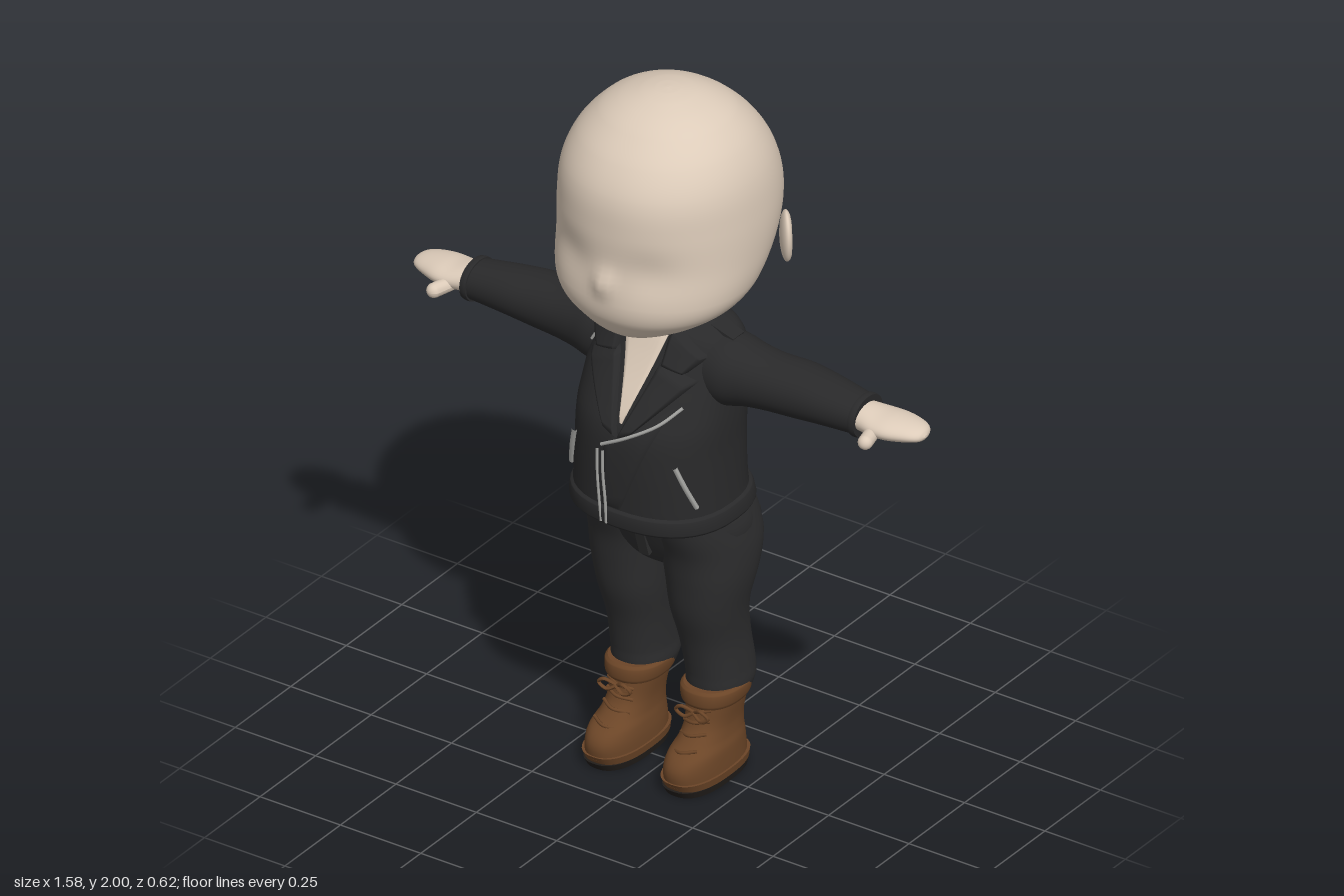
import * as THREE from 'three';

const mat = (name, color, side = THREE.FrontSide) =>
  Object.assign(new THREE.MeshStandardMaterial({ color, side }), { name });

// Cross-section at height t, eased between rows [t, u0, u1, v0, v1]
function section(rows, t) {
  const n = rows.length - 1;
  let i = 0;
  while (i < n - 1 && t > rows[i + 1][0]) i++;
  const a = rows[i], b = rows[i + 1], p = rows[Math.max(i - 1, 0)], q = rows[Math.min(i + 2, n)];
  const h = b[0] - a[0], s = THREE.MathUtils.clamp((t - a[0]) / h, 0, 1);
  return [1, 2, 3, 4].map(k => {
    const ma = (b[k] - p[k]) / (b[0] - p[0]) * h, mb = (q[k] - a[k]) / (q[0] - a[0]) * h;
    return a[k] * (1 + 2 * s) * (1 - s) ** 2 + ma * s * (1 - s) ** 2
      + b[k] * s * s * (3 - 2 * s) + mb * s * s * (s - 1);
  });
}

// Closed body through superellipse sections stacked along y (or along x)
function loft(rows, exp = 2, alongX = false, n = 40, steps = 5) {
  const ts = [rows[0][0]], pos = [], idx = [];
  for (let i = 1; i < rows.length; i++)
    for (let k = 1; k <= steps; k++) ts.push(rows[i - 1][0] + (rows[i][0] - rows[i - 1][0]) * k / steps);
  const put = (u, t, v) => pos.push(...(alongX ? [t, v, u] : [u, t, v]));
  const pw = c => Math.sign(c) * Math.abs(c) ** (2 / exp);
  for (const t of ts) {
    const [u0, u1, v0, v1] = section(rows, t);
    for (let i = 0; i < n; i++) {
      const a = i / n * Math.PI * 2;
      put((u0 + u1) / 2 + (u1 - u0) / 2 * pw(Math.cos(a)), t, (v0 + v1) / 2 + (v1 - v0) / 2 * pw(Math.sin(a)));
    }
  }
  for (let j = 0; j < ts.length - 1; j++) for (let i = 0; i < n; i++) {
    const a = j * n + i, b = j * n + (i + 1) % n;
    idx.push(a, a + n, b, b, a + n, b + n);
  }
  for (const end of [0, ts.length - 1]) { // end caps, with their own vertices
    const [u0, u1, v0, v1] = section(rows, ts[end]), base = pos.length / 3;
    pos.push(...pos.slice(end * n * 3, (end + 1) * n * 3));
    put((u0 + u1) / 2, ts[end], (v0 + v1) / 2);
    for (let i = 0; i < n; i++) {
      const a = base + i, b = base + (i + 1) % n;
      idx.push(base + n, ...(end ? [b, a] : [a, b]));
    }
  }
  return build(pos, idx);
}

function build(pos, idx) {
  const g = new THREE.BufferGeometry();
  g.setAttribute('position', new THREE.Float32BufferAttribute(pos, 3));
  g.setIndex(idx);
  g.computeVertexNormals();
  return g;
}

// Depth of a lofted body's front (dir 1) or back (dir -1) at x, y
function depth(rows, x, y, exp, dir = 1) {
  const [u0, u1, v0, v1] = section(rows, y);
  const r = Math.min(Math.abs((x - (u0 + u1) / 2) / ((u1 - u0) / 2)), 0.995);
  return (v0 + v1) / 2 + dir * (v1 - v0) / 2 * (1 - r ** exp) ** (1 / exp);
}

// Raised panel draped over a body; corners run bottom-left, bottom-right, top-right, top-left
function drape(rows, exp, [a, b, c, d], lift, dir = 1, n = 14) {
  const pos = [], idx = [], mix = THREE.MathUtils.lerp;
  for (let j = 0; j <= n; j++) for (let i = 0; i <= n; i++) {
    const s = i / n, t = j / n, edge = i % n === 0 || j % n === 0;
    const x = mix(mix(a[0], b[0], s), mix(d[0], c[0], s), t), y = mix(mix(a[1], b[1], s), mix(d[1], c[1], s), t);
    pos.push(x, y, depth(rows, x, y, exp, dir) + dir * (edge ? 0 : lift));
    if (i < n && j < n) {
      const k = j * (n + 1) + i, m = k + n + 1;
      idx.push(...(dir > 0 ? [k, k + 1, m + 1, k, m + 1, m] : [k, m + 1, k + 1, k, m, m + 1]));
    }
  }
  return build(pos, idx);
}

function mirror(geo) {
  const g = geo.clone().scale(-1, 1, 1), ix = g.index.array;
  for (let i = 0; i < ix.length; i += 3) [ix[i], ix[i + 1]] = [ix[i + 1], ix[i]];
  g.computeVertexNormals();
  return g;
}

const tube = (pts, r) => new THREE.TubeGeometry(
  new THREE.CatmullRomCurve3(pts.map(p => new THREE.Vector3(...p)), false, 'centripetal'), 24, r, 6);

export function createModel() {
  const root = new THREE.Group();
  root.name = 'figure';
  const skin = mat('skin', 0xdccbb9), leather = mat('blackLeather', 0x29292a, THREE.DoubleSide);
  const denim = mat('darkDenim', 0x2d2d2e), brown = mat('brownLeather', 0x6b4527);
  const rubber = mat('soleRubber', 0x211d1a), silver = mat('zipMetal', 0xa5a5a2);
  const add = (name, geo, m) => {
    const mesh = new THREE.Mesh(geo, m);
    mesh.name = name;
    root.add(mesh);
  };
  const pair = (name, geo, m) => { add(name + 'Left', geo, m); add(name + 'Right', mirror(geo), m); };
  // Symmetric rows: [y, half width, back z, front z]
  const sym = rows => rows.map(([y, w, b, f]) => [y, -w, w, b, f]);

  // Head with a small nose
  const head = loft(sym([
    [1.352, 0.03, 0.08, 0.16], [1.36, 0.075, 0.02, 0.2], [1.38, 0.13, -0.06, 0.235], [1.41, 0.187, -0.11, 0.262],
    [1.45, 0.238, -0.16, 0.286], [1.5, 0.265, -0.215, 0.294], [1.6, 0.277, -0.287, 0.288], [1.7, 0.277, -0.313, 0.291],
    [1.8, 0.264, -0.288, 0.282], [1.88, 0.23, -0.238, 0.24], [1.94, 0.178, -0.178, 0.178], [1.97, 0.13, -0.13, 0.13],
    [1.99, 0.075, -0.08, 0.075], [1.998, 0.034, -0.036, 0.034], [2, 0.004, -0.005, 0.005]]), 2.12, false, 96, 6);
  const hp = head.attributes.position;
  for (let i = 0; i < hp.count; i++) {
    const x = hp.getX(i), y = hp.getY(i), z = hp.getZ(i);
    if (z > 0.1) hp.setZ(i, z + 0.02 * Math.exp(-((x / 0.028) ** 2) - ((y - 1.555) / 0.035) ** 2)
      - 0.01 * Math.exp(-(((Math.abs(x) - 0.12) / 0.07) ** 2) - ((y - 1.6) / 0.06) ** 2));
  }
  head.computeVertexNormals();
  add('head', head, skin);
  add('neck', new THREE.CylinderGeometry(0.075, 0.085, 0.2, 32).translate(0, 1.34, -0.01), skin);

  // Ears: flattened discs with a hollow on the outer side
  const ear = new THREE.SphereGeometry(1, 28, 20), ep = ear.attributes.position;
  for (let i = 0; i < ep.count; i++) {
    const y = ep.getY(i), z = ep.getZ(i), r = Math.hypot(y, z);
    if (ep.getX(i) > 0) ep.setX(i, ep.getX(i) - 0.9 * Math.max(0, 1 - (r / 0.75) ** 2));
    ep.setZ(i, z * (1 + 0.2 * y));
  }
  ear.scale(0.018, 0.07, 0.05).rotateX(-0.15).rotateY(0.72).translate(0.293, 1.6, -0.11);
  ear.computeVertexNormals();
  pair('ear', ear, skin);

  // Jacket body, waistband and collar
  const torso = sym([[0.805, 0.225, -0.185, 0.228], [0.87, 0.22, -0.166, 0.23], [1, 0.214, -0.168, 0.23],
    [1.08, 0.214, -0.17, 0.22], [1.15, 0.212, -0.168, 0.185], [1.22, 0.21, -0.162, 0.145], [1.28, 0.206, -0.15, 0.115],
    [1.32, 0.185, -0.135, 0.098], [1.345, 0.14, -0.118, 0.086], [1.365, 0.09, -0.1, 0.075]]);
  add('jacketBody', loft(torso, 2.4), leather);
  add('jacketWaistband', loft(sym([[0.8, 0.229, -0.19, 0.232], [0.808, 0.233, -0.194, 0.238],
    [0.845, 0.229, -0.181, 0.238], [0.853, 0.221, -0.17, 0.229]]), 2.4), leather);
  add('jacketCollar', new THREE.LatheGeometry([[0.085, 1.33], [0.088, 1.375], [0.098, 1.384], [0.108, 1.375], [0.132, 1.325]]
    .map(p => new THREE.Vector2(...p)), 40, 0.75, Math.PI * 2 - 1.5).translate(0, 0, -0.012), leather);

  // Open neckline, collar points and lapels
  add('chest', drape(torso, 2.4, [[-0.004, 1.1], [0.004, 1.1], [0.075, 1.362], [-0.075, 1.362]], 0.005), skin);
  pair('collarPoint', drape(torso, 2.4, [[0.07, 1.255], [0.135, 1.245], [0.175, 1.285], [0.072, 1.362]], 0.022), leather);
  pair('lapel', drape(torso, 2.4, [[0, 1.06], [0.035, 1.08], [0.165, 1.225], [0.065, 1.27]], 0.018), leather);
  add('frontFlap', drape(torso, 2.4, [[-0.045, 0.855], [0.01, 0.855], [0.13, 1.16], [-0.045, 1.04]], 0.007), leather);
  const shoulderStrap = new THREE.BoxGeometry(0.085, 0.014, 0.05).rotateZ(-0.3).translate(0.168, 1.328, -0.015);
  pair('shoulderStrap', shoulderStrap, leather);

  // Zips laid over the jacket front
  const zip = (name, pts, r = 0.005) => add(name, tube(pts.map(([x, y]) =>
    [x, y, depth(torso, x, y, 2.4) + 0.009]), r), silver);
  zip('flapZip', [[0.15, 1.165], [0.105, 1.12], [0.03, 1.075], [-0.045, 1.035]]);
  zip('frontZipOuter', [[-0.058, 1.02], [-0.056, 0.95], [-0.05, 0.87], [-0.045, 0.808]], 0.004);
  zip('frontZipInner', [[-0.04, 1.02], [-0.037, 0.95], [-0.03, 0.87], [-0.028, 0.808]], 0.004);
  zip('pocketZipLeft', [[0.155, 1.01], [0.175, 0.95], [0.195, 0.885]], 0.007);
  zip('pocketZipRight', [[-0.16, 1.02], [-0.178, 0.96], [-0.195, 0.895]], 0.007);
  zip('chestZip', [[-0.145, 1.285], [-0.17, 1.24]], 0.004);

  // Sleeves and hands, sections along x: [x, back z, front z, bottom y, top y]
  pair('sleeve', loft([[0.13, -0.1, 0.085, 1.13, 1.325], [0.2, -0.108, 0.09, 1.128, 1.322], [0.26, -0.1, 0.078, 1.142, 1.308],
    [0.32, -0.1, 0.068, 1.148, 1.298], [0.4, -0.11, 0.06, 1.15, 1.292], [0.48, -0.1, 0.056, 1.158, 1.285],
    [0.56, -0.085, 0.05, 1.164, 1.276], [0.61, -0.075, 0.047, 1.167, 1.27]], 2.1, true), leather);
  pair('cuff', loft([[0.594, -0.081, 0.053, 1.162, 1.276], [0.602, -0.082, 0.054, 1.161, 1.277],
    [0.613, -0.08, 0.052, 1.163, 1.275]], 2.1, true, 40, 2), leather);
  pair('hand', loft([[0.58, -0.055, 0.04, 1.19, 1.26], [0.62, -0.064, 0.045, 1.186, 1.258], [0.66, -0.077, 0.052, 1.186, 1.252],
    [0.7, -0.08, 0.05, 1.188, 1.25], [0.74, -0.074, 0.036, 1.192, 1.245], [0.77, -0.062, 0.022, 1.198, 1.238],
    [0.785, -0.045, 0.008, 1.204, 1.23], [0.792, -0.022, -0.01, 1.213, 1.22]], 2, true), skin);
  pair('thumb', new THREE.CapsuleGeometry(0.02, 0.055, 8, 16).rotateX(Math.PI / 2).rotateY(0.25)
    .translate(0.664, 1.207, 0.055), skin);

  // Trousers: seat, legs and pockets
  add('trouserSeat', loft(sym([[0.6, 0.04, -0.08, 0.03], [0.63, 0.11, -0.125, 0.07], [0.67, 0.2, -0.165, 0.1],
    [0.74, 0.226, -0.178, 0.135], [0.82, 0.217, -0.16, 0.17]]), 2.3), denim);
  const leg = [[0.235, 0.042, 0.192, -0.163, 0.022], [0.26, 0.036, 0.197, -0.172, 0.03], [0.3, 0.037, 0.196, -0.17, 0.035],
    [0.4, 0.03, 0.196, -0.15, 0.055], [0.5, 0.018, 0.208, -0.136, 0.086], [0.6, 0.006, 0.226, -0.165, 0.102],
    [0.68, -0.004, 0.23, -0.186, 0.115], [0.75, -0.008, 0.224, -0.178, 0.14], [0.82, -0.01, 0.214, -0.155, 0.16]];
  pair('trouserLeg', loft(leg, 2.2), denim);
  pair('backPocket', drape(leg, 2.2, [[0.055, 0.62], [0.165, 0.62], [0.18, 0.735], [0.04, 0.735]], 0.008, -1), denim);
  add('fly', new THREE.BoxGeometry(0.03, 0.14, 0.02).rotateX(0.3).translate(0.005, 0.735, 0.125), denim);

  // Boots: sole, welt, upper, cuff and laces
  const sole = (y0, y1, o) => [[y0, 0.052 - o, 0.193 + o, -0.138 - o, 0.145 + o], [y1, 0.049 - o, 0.196 + o, -0.141 - o, 0.157 + o]];
  pair('bootSole', loft(sole(0, 0.02, 0), 2.5, false, 40, 2), rubber);
  pair('bootWelt', loft(sole(0.02, 0.042, 0.004), 2.5, false, 40, 2), brown);
  const boot = [[0.03, 0.05, 0.195, -0.14, 0.155], [0.07, 0.051, 0.193, -0.137, 0.158], [0.1, 0.055, 0.19, -0.133, 0.14],
    [0.125, 0.06, 0.183, -0.13, 0.095], [0.16, 0.06, 0.18, -0.13, 0.06], [0.21, 0.052, 0.186, -0.138, 0.046],
    [0.255, 0.045, 0.191, -0.148, 0.044]];
  pair('bootUpper', loft(boot, 2.3), brown);
  pair('bootCuff', loft([[0.215, 0.045, 0.191, -0.142, 0.05], [0.225, 0.04, 0.196, -0.148, 0.055],
    [0.255, 0.036, 0.199, -0.152, 0.054], [0.264, 0.043, 0.192, -0.146, 0.046]], 2.3, false, 40, 3), brown);
  for (let i = 0; i < 4; i++) {
    const y = 0.115 + i * 0.03;
    pair('lace' + (i + 1), tube([0.08, 0.12, 0.16].map((x, k) =>
      [x, y + (k - 1) * 0.008, depth(boot, x, y, 2.3) + 0.004]), 0.005), brown);
  }
  for (const s of [-1, 1]) pair(s < 0 ? 'bowInner' : 'bowOuter', tube([[0.12, 0.205, 0.055], [0.12 + s * 0.03, 0.222, 0.07],
    [0.12 + s * 0.05, 0.205, 0.066], [0.12 + s * 0.025, 0.192, 0.066], [0.12, 0.205, 0.06]], 0.005), brown);

  return root;
}
